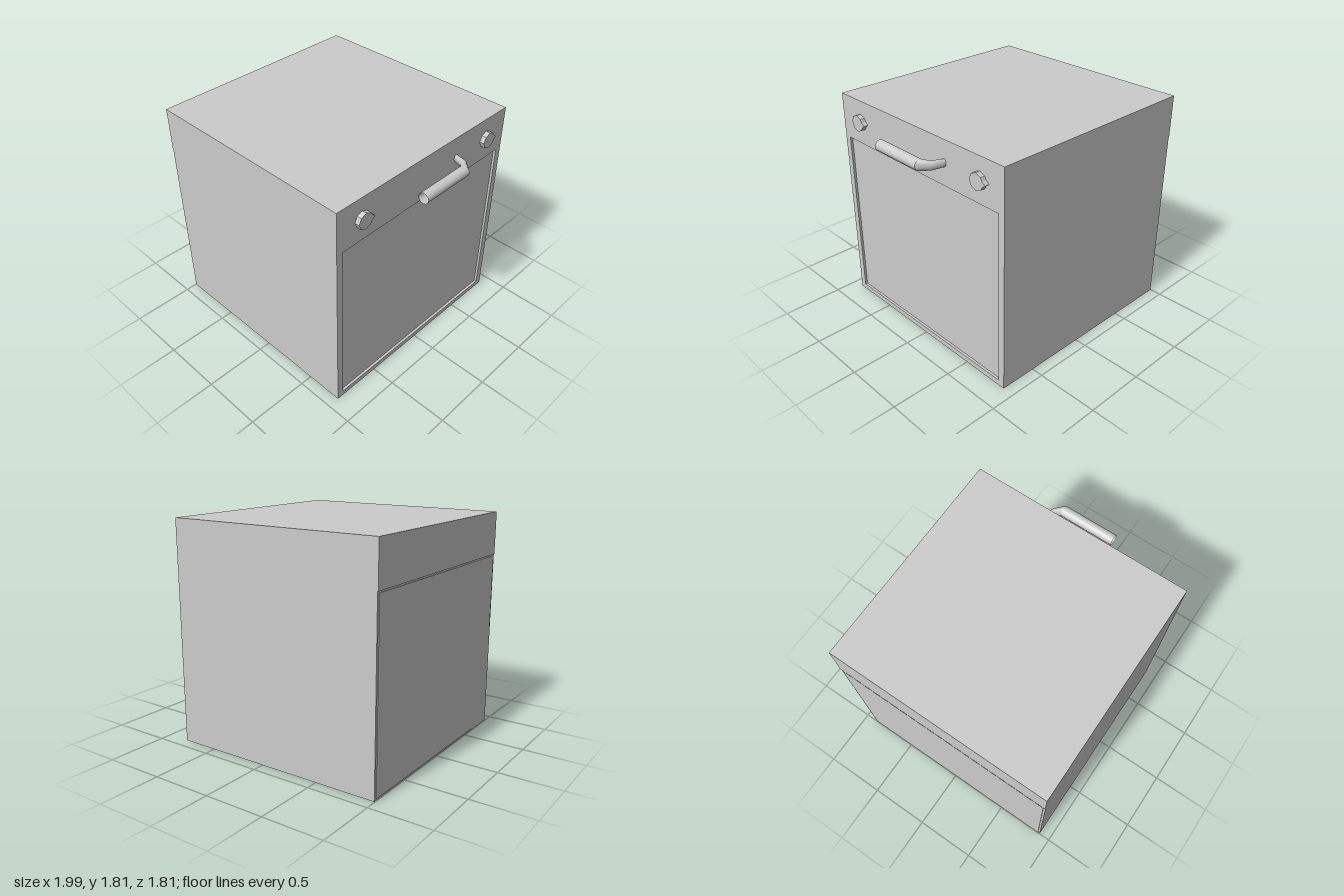
import * as THREE from 'three';

const grey = new THREE.MeshStandardMaterial({ color: 0xcccccc });
const flat = new THREE.MeshStandardMaterial({ color: 0xcccccc, flatShading: true });
const open = new THREE.MeshStandardMaterial({ color: 0xcccccc, side: THREE.DoubleSide });

const SIZE = 1.81, HALF = SIZE / 2, FACE = 0.805, KNOB_Y = 1.635;

function add(parent, name, geometry, material, x = 0, y = 0, z = 0) {
  const mesh = new THREE.Mesh(geometry, material);
  mesh.name = name;
  mesh.position.set(x, y, z);
  parent.add(mesh);
  return mesh;
}

function box(parent, name, x0, x1, y0, y1, z) {
  return add(parent, name, new THREE.BoxGeometry(x1 - x0, y1 - y0, 2 * z), flat, (x0 + x1) / 2, (y0 + y1) / 2, 0);
}

// Extrude a shape drawn in (-z, y) outwards along +x
function extrudeX(shape, depth) {
  return new THREE.ExtrudeGeometry(shape, { depth, bevelEnabled: false }).rotateY(Math.PI / 2);
}

// Front plate with a rectangular opening around the recessed panel
function facePlate() {
  const shape = new THREE.Shape([[-HALF, 0], [HALF, 0], [HALF, SIZE], [-HALF, SIZE]].map(p => new THREE.Vector2(...p)));
  shape.holes.push(new THREE.Path([[-0.85, 0.045], [-0.85, 1.455], [0.85, 1.455], [0.85, 0.045]].map(p => new THREE.Vector2(...p))));
  return extrudeX(shape, 0.02);
}

// Eight-sided dial with a small pointer on one side
function knob() {
  const points = [];
  for (let i = 1; i < 8; i++) {
    const a = i * Math.PI / 4;
    points.push(new THREE.Vector2(Math.cos(a) * 0.066, Math.sin(a) * 0.066));
  }
  points.push(new THREE.Vector2(0.06, -0.022), new THREE.Vector2(0.088, 0), new THREE.Vector2(0.06, 0.022));
  return extrudeX(new THREE.Shape(points), 0.037);
}

// Loft through oval rings: [x, z, heading x, heading z, half width, half height]
function loft(rings, sides = 20) {
  const positions = [], index = [];
  rings.forEach(([x, z, hx, hz, w, h], r) => {
    for (let i = 0; i < sides; i++) {
      const a = i / sides * Math.PI * 2;
      positions.push(x - hz * Math.cos(a) * w, Math.sin(a) * h, z + hx * Math.cos(a) * w);
      if (r === 0) continue;
      const b = (r - 1) * sides, j = (i + 1) % sides;
      index.push(b + i, b + j, b + sides + i, b + j, b + sides + j, b + sides + i);
    }
  });
  const geometry = new THREE.BufferGeometry();
  geometry.setAttribute('position', new THREE.Float32BufferAttribute(positions, 3));
  geometry.setIndex(index);
  geometry.computeVertexNormals();
  return geometry;
}

export function createModel() {
  const model = new THREE.Group();
  model.name = 'cabinet';

  // Cabinet body, with the plate framing its recessed panel
  box(model, 'body', -0.995, FACE - 0.02, 0, SIZE, HALF);
  add(model, 'facePlate', facePlate(), flat, FACE - 0.02);

  // Slightly raised panel and top strip on the opposite side
  box(model, 'rearPanel', -1, -0.995, 0.015, 1.45, 0.888);
  box(model, 'rearTopStrip', -1, -0.995, 1.462, SIZE, HALF);

  // Pair of dials
  for (const z of [0.67, -0.675]) add(model, z > 0 ? 'leftKnob' : 'rightKnob', knob(), flat, FACE, KNOB_Y, z);

  // Hollow grip with a bent neck that runs into the face
  const handle = new THREE.Group();
  handle.name = 'handle';
  handle.position.y = KNOB_Y;
  model.add(handle);
  const grip = new THREE.CylinderGeometry(0.043, 0.043, 0.455, 24, 1, true).rotateX(Math.PI / 2);
  add(handle, 'grip', grip, open, 0.95, 0, -0.003);
  add(handle, 'neck', loft([
    [0.95, -0.23, 0, -1, 0.043, 0.043],
    [0.896, -0.289, -0.86, -0.51, 0.023, 0.036],
    [0.80, -0.318, -0.98, -0.2, 0.017, 0.03],
  ]), open);

  return model;
}
